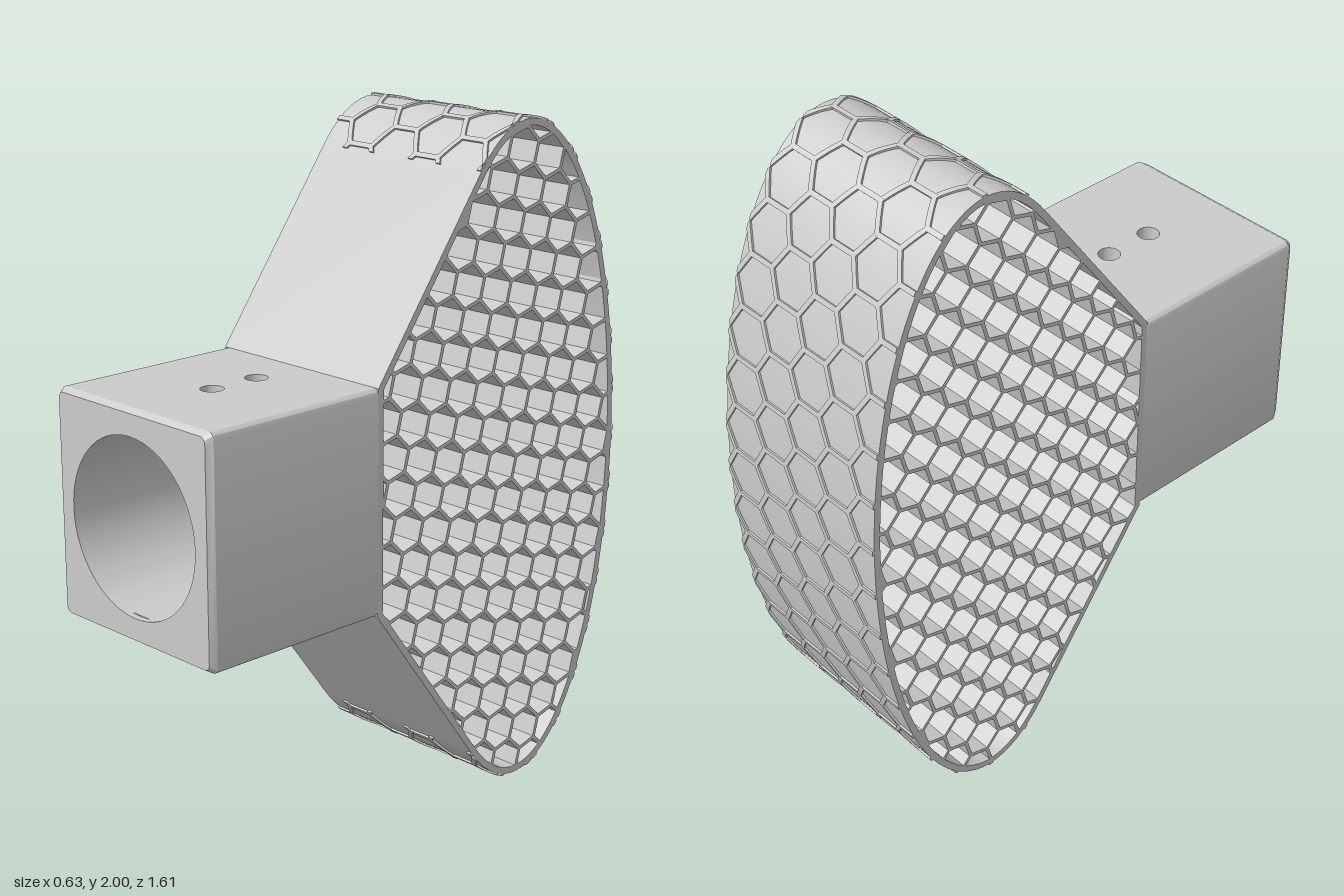
import * as THREE from 'three';
import { mergeGeometries, toCreasedNormals } from 'three/addons/utils/BufferGeometryUtils.js';

const HALF_X = 0.313, HALF_Y = 0.33, MID_Y = 1;
const BACK = 0.2, FLOOR = 0.26, LIP = 0.785, FRONT = 0.805;
const BORE = 0.255, BRIDGE = 0.04, ROUND = 0.02;
const material = new THREE.MeshStandardMaterial({ color: 0xcccccc });

// Curved back of the pad, drawn in (z, y), from upper to lower tangent point
const T0 = 1.063;
const curve = new THREE.EllipseCurve(-0.39, MID_Y, 0.404, 0.994, T0, 2 * Math.PI - T0);

function addMesh(parent, name, geometry) {
  const mesh = new THREE.Mesh(geometry, material);
  mesh.name = name;
  parent.add(mesh);
  return mesh;
}

function hexagon(cx, cy, r) {
  return Array.from({ length: 6 }, (_, k) => new THREE.Vector2(
    cx + r * Math.cos(k * Math.PI / 3), cy + r * Math.sin(k * Math.PI / 3)));
}

// Keeps the part of a polygon that lies a margin inside a convex outline
function clipInside(poly, outline, margin) {
  outline.forEach((a, i) => {
    const b = outline[(i + 1) % outline.length];
    const dir = b.clone().sub(a).normalize();
    const dist = (p) => (p.y - a.y) * dir.x - (p.x - a.x) * dir.y - margin;
    const out = [];
    poly.forEach((p, k) => {
      const q = poly[(k + 1) % poly.length];
      const dp = dist(p), dq = dist(q);
      if (dp >= 0) out.push(p);
      if (dp * dq < 0) out.push(p.clone().lerp(q, dp / (dp - dq)));
    });
    poly = out;
  });
  return poly;
}

// Pad body with open, slightly tilted hexagonal cells running across it
function honeycombGeometry() {
  const outline = curve.getSpacedPoints(100);
  outline.push(new THREE.Vector2(BACK, MID_Y - HALF_Y), new THREE.Vector2(BACK, MID_Y + HALF_Y));
  const shape = new THREE.Shape(outline);
  const pitch = 0.115, wall = 0.011, tilt = -Math.PI / 12;
  const column = pitch * Math.sqrt(3) / 2;
  const radius = (pitch - wall) / Math.sqrt(3);
  const centre = new THREE.Vector2(-0.3, MID_Y);
  for (let i = -11; i <= 11; i++) {
    for (let j = -11; j <= 11; j++) {
      const hex = hexagon(centre.x + i * column, centre.y + (j + (i & 1) / 2) * pitch, radius);
      hex.forEach((p) => p.rotateAround(centre, tilt));
      const cell = clipInside(hex, outline, 0.02);
      if (cell.length < 3 || Math.abs(THREE.ShapeUtils.area(cell)) < 0.0003) continue;
      shape.holes.push(new THREE.Path(cell));
    }
  }
  const g = new THREE.ExtrudeGeometry(shape, { depth: 2 * HALF_X, bevelEnabled: false });
  g.translate(0, 0, -HALF_X).rotateY(-Math.PI / 2);
  return toCreasedNormals(g, 0.4);
}

// Trims a segment to |x| <= limit.x and |y| <= limit.y
function trimSegment(a, b, limit) {
  let t0 = 0, t1 = 1;
  for (const axis of ['x', 'y']) {
    const d = b[axis] - a[axis];
    if (Math.abs(d) < 1e-6) {
      if (Math.abs(a[axis]) > limit[axis]) return null;
      continue;
    }
    const u = (-limit[axis] - a[axis]) / d, v = (limit[axis] - a[axis]) / d;
    t0 = Math.max(t0, Math.min(u, v));
    t1 = Math.min(t1, Math.max(u, v));
  }
  return t1 - t0 > 0.02 ? [a.clone().lerp(b, t0), a.clone().lerp(b, t1)] : null;
}

// Raised hexagonal ribs, laid out flat and then wrapped onto the curved back
function ribGeometry() {
  const side = 0.088, shift = -0.035, width = 0.015, height = 0.016, sunk = 0.01;
  const length = curve.getLength();
  const limit = new THREE.Vector2(HALF_X, length / 2);
  const bars = [];
  for (let i = -3; i <= 3; i++) {
    for (let j = -10; j <= 10; j++) {
      const hex = hexagon(shift + i * 1.5 * side, (j + (i & 1) / 2) * Math.sqrt(3) * side, side);
      for (let k = 0; k < 3; k++) {
        const seg = trimSegment(hex[k], hex[k + 1], limit);
        if (!seg) continue;
        const [a, b] = seg;
        const bar = new THREE.BoxGeometry(a.distanceTo(b) + 0.008, width, height, 5, 1, 1);
        bar.rotateZ(Math.atan2(b.y - a.y, b.x - a.x));
        bar.translate((a.x + b.x) / 2, (a.y + b.y) / 2, height / 2 - sunk);
        bars.push(bar);
      }
    }
  }
  const g = mergeGeometries(bars);
  const pos = g.attributes.position;
  for (let i = 0; i < pos.count; i++) {
    const t = THREE.MathUtils.clamp(pos.getY(i) / length + 0.5, 0, 1);
    const p = curve.getPointAt(t), tan = curve.getTangentAt(t), h = pos.getZ(i);
    const x = THREE.MathUtils.clamp(pos.getX(i), -HALF_X, HALF_X);
    pos.setXYZ(i, x, p.y - tan.x * h, p.x + tan.y * h);
  }
  g.computeVertexNormals();
  return g;
}

function extrudeBetween(shape, from, to) {
  const g = new THREE.ExtrudeGeometry(shape, { depth: to - from, bevelEnabled: false, curveSegments: 32 });
  return g.translate(0, 0, from);
}

function roundedRect() {
  const x = HALF_X - ROUND, y = HALF_Y - ROUND;
  const s = new THREE.Shape();
  s.absarc(x, y, ROUND, 0, Math.PI / 2);
  s.absarc(-x, y, ROUND, Math.PI / 2, Math.PI);
  s.absarc(-x, -y, ROUND, Math.PI, Math.PI * 1.5);
  s.absarc(x, -y, ROUND, Math.PI * 1.5, Math.PI * 2);
  return s;
}

function createSocket() {
  const socket = new THREE.Group();
  socket.name = 'mountSocket';
  socket.position.y = MID_Y;

  // Closed end of the bore
  addMesh(socket, 'socketFloor', toCreasedNormals(extrudeBetween(roundedRect(), BACK, FLOOR), 0.4));

  // Side walls around the bore
  const a = Math.acos(BRIDGE / BORE);
  const wall = new THREE.Shape();
  wall.moveTo(BRIDGE, HALF_Y);
  wall.lineTo(HALF_X - ROUND, HALF_Y);
  wall.absarc(HALF_X - ROUND, HALF_Y - ROUND, ROUND, Math.PI / 2, 0, true);
  wall.absarc(HALF_X - ROUND, ROUND - HALF_Y, ROUND, 0, -Math.PI / 2, true);
  wall.lineTo(BRIDGE, -HALF_Y);
  wall.absarc(0, 0, BORE, -a, a, false);
  const wallGeometry = toCreasedNormals(extrudeBetween(wall, FLOOR, LIP), 0.4);
  addMesh(socket, 'leftWall', wallGeometry);
  addMesh(socket, 'rightWall', wallGeometry).rotation.z = Math.PI;

  // Strips above and below the bore, each with two screw holes
  const strip = new THREE.Shape();
  strip.moveTo(-BRIDGE, -LIP).lineTo(BRIDGE, -LIP).lineTo(BRIDGE, -FLOOR).lineTo(-BRIDGE, -FLOOR);
  for (const z of [0.36, 0.52]) {
    strip.holes.push(new THREE.Path().absarc(0, -z, 0.033, 0, Math.PI * 2));
  }
  const inner = BORE * Math.sin(a);
  const stripGeometry = toCreasedNormals(extrudeBetween(strip, inner, HALF_Y).rotateX(-Math.PI / 2), 0.5);
  addMesh(socket, 'topScrewStrip', stripGeometry);
  const bottom = stripGeometry.clone().translate(0, -inner - HALF_Y, 0);
  addMesh(socket, 'bottomScrewStrip', bottom);

  // Front lip with softened outer edge
  const lip = roundedRect();
  lip.holes.push(new THREE.Path().absarc(0, 0, BORE, 0, Math.PI * 2));
  const lipGeometry = extrudeBetween(lip, LIP, FRONT);
  const pos = lipGeometry.attributes.position;
  for (let i = 0; i < pos.count; i++) {
    const x = pos.getX(i), y = pos.getY(i);
    if (pos.getZ(i) > LIP + 0.01 && Math.hypot(x, y) > 0.29) {
      pos.setXY(i, x * 0.965, y * 0.965);
    }
  }
  addMesh(socket, 'frontLip', toCreasedNormals(lipGeometry, 0.9));
  return socket;
}

export function createModel() {
  const model = new THREE.Group();
  model.name = 'honeycombPad';
  addMesh(model, 'honeycombBody', honeycombGeometry());
  addMesh(model, 'hexagonRibs', ribGeometry());
  model.add(createSocket());
  return model;
}
